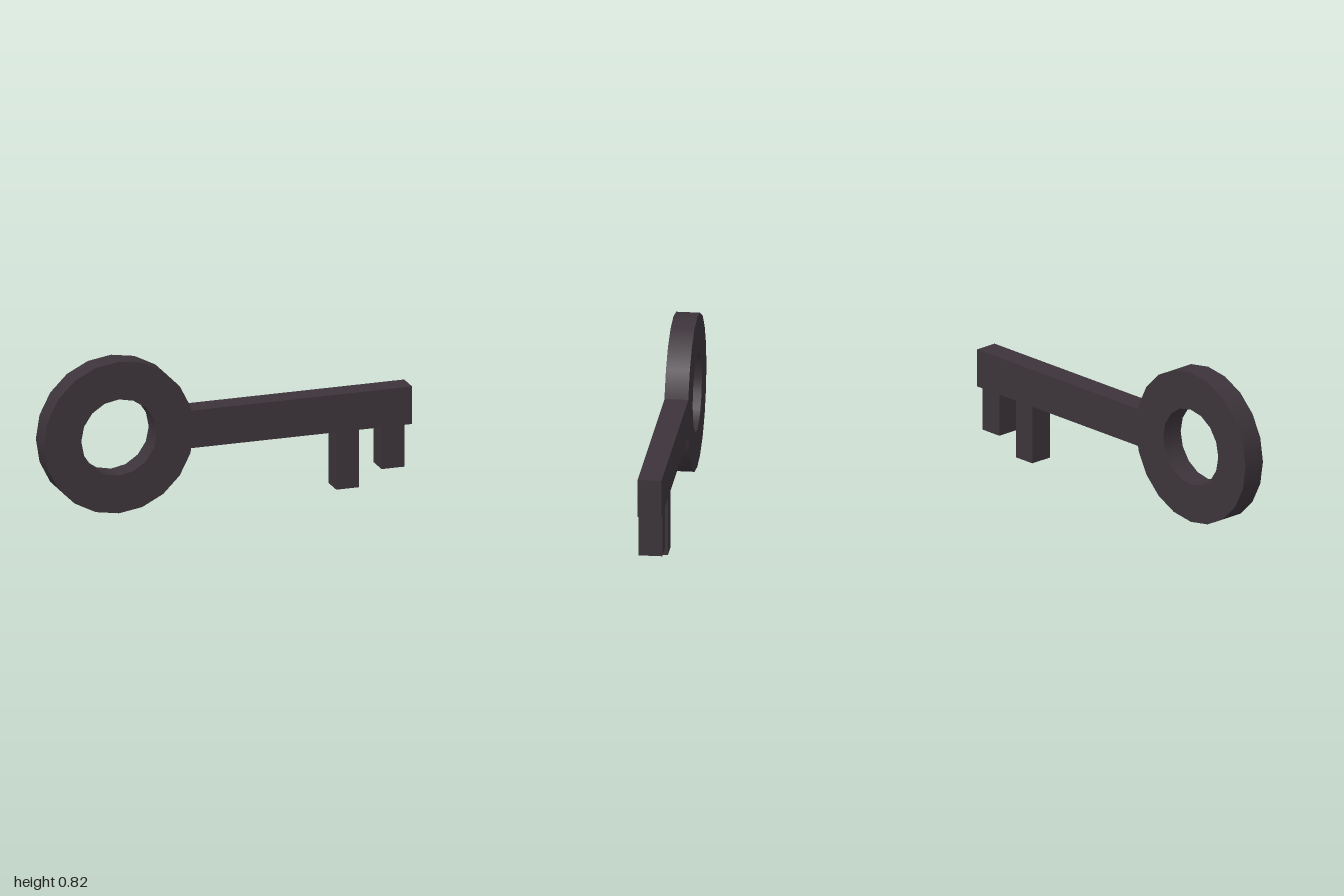
import * as THREE from 'three';
import { mergeGeometries } from 'three/addons/utils/BufferGeometryUtils.js';

const DEPTH = 0.123;
const CENTRE_Y = 0.409;

// Regular polygon points, starting on the x axis
function polygon(radius, sides) {
  return Array.from({ length: sides }, (_, i) => {
    const a = (i / sides) * Math.PI * 2;
    return new THREE.Vector2(Math.cos(a) * radius, Math.sin(a) * radius);
  });
}

// Smooth wall around z; dir = 1 faces outward, -1 faces inward
function wall(radius, sides, dir) {
  const h = (DEPTH / 2) * dir;
  return new THREE.LatheGeometry(
    [new THREE.Vector2(radius, -h), new THREE.Vector2(radius, h)], sides
  ).rotateX(Math.PI / 2);
}

export function createModel() {
  const key = new THREE.Group();
  key.name = 'key';
  const iron = new THREE.MeshStandardMaterial({ color: 0x3c343a });
  iron.name = 'dark iron';

  const add = (name, geometry, x, y) => {
    const mesh = new THREE.Mesh(geometry, iron);
    mesh.name = name;
    mesh.position.set(x, y, 0);
    key.add(mesh);
  };
  const addBar = (name, x0, x1, y0, y1) =>
    add(name, new THREE.BoxGeometry(x1 - x0, y1 - y0, DEPTH), (x0 + x1) / 2, (y0 + y1) / 2);

  // Ring handle: flat faces with smooth outer and inner walls
  const outline = new THREE.Shape(polygon(0.408, 20));
  outline.holes.push(new THREE.Path(polygon(0.205, 16)));
  const front = new THREE.ShapeGeometry(outline).translate(0, 0, DEPTH / 2);
  const back = front.clone().rotateY(Math.PI);
  add('ringHandle', mergeGeometries([
    front, back, wall(0.408, 20, 1), wall(0.205, 16, -1),
  ]), -0.592, CENTRE_Y);

  // Shaft and the two teeth under its tip
  addBar('shaft', -0.204, 1, 0.309, 0.511);
  addBar('longTooth', 0.588, 0.711, 0, 0.309);
  addBar('shortTooth', 0.834, 0.958, 0.084, 0.309);

  return key;
}
